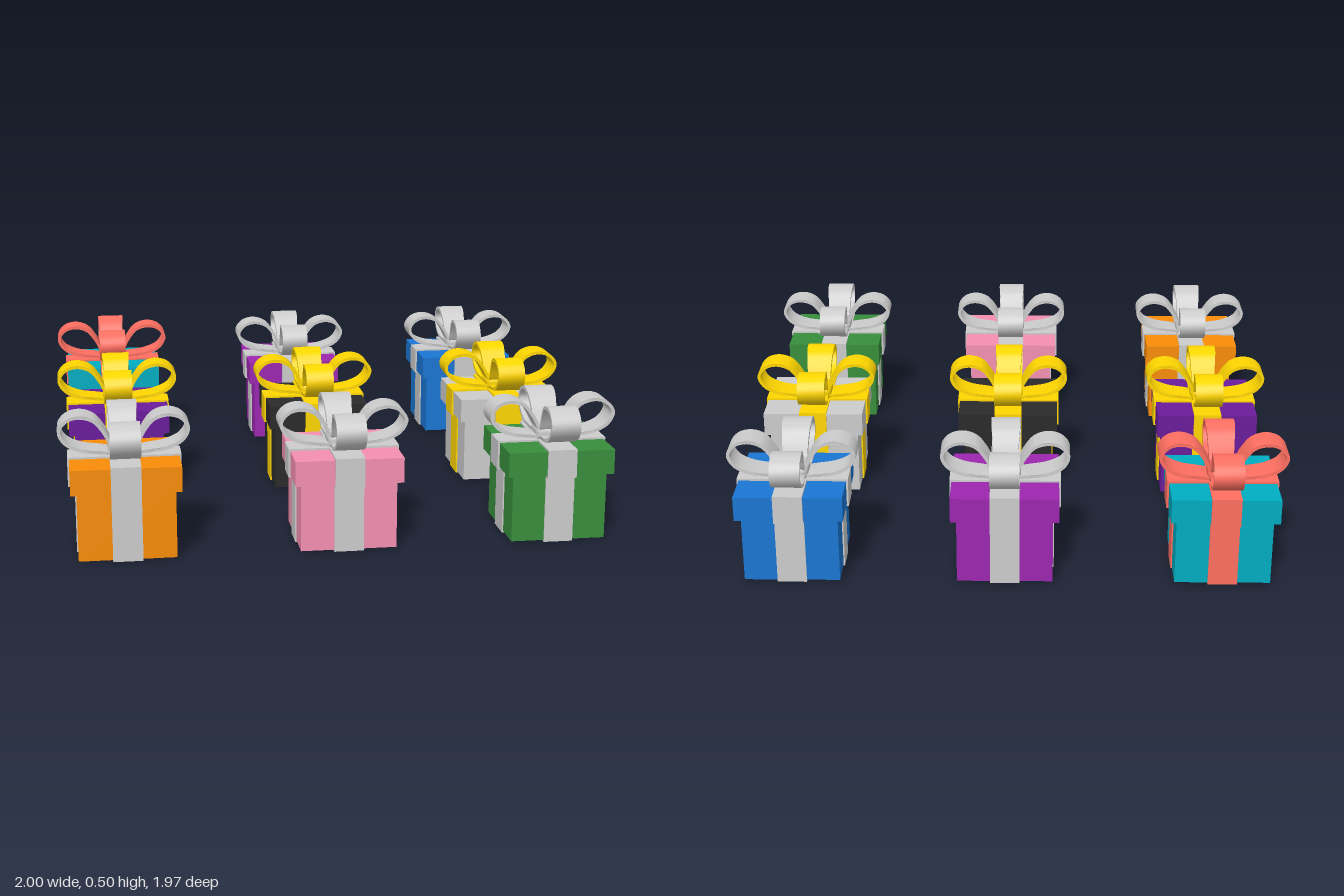
import * as THREE from 'three';
import { toCreasedNormals } from 'three/addons/utils/BufferGeometryUtils.js';
import { RoundedBoxGeometry } from 'three/addons/geometries/RoundedBoxGeometry.js';

const RIBBON = 0.0525; // half the ribbon width

// Plus-shaped prism: a ribbon wrapped both ways around a box
function crossBand(half, bottom, top) {
  const s = new THREE.Shape();
  const corners = [[RIBBON, half], [RIBBON, RIBBON], [half, RIBBON]];
  for (let q = 0; q < 4; q++) {
    const c = Math.cos(-q * Math.PI / 2), n = Math.sin(-q * Math.PI / 2);
    for (const [x, y] of corners) {
      const px = x * c - y * n, py = x * n + y * c;
      if (q === 0 && x === RIBBON && y === half) s.moveTo(px, py);
      else s.lineTo(px, py);
    }
  }
  s.closePath();
  const g = new THREE.ExtrudeGeometry(s, { depth: top - bottom, bevelEnabled: false });
  return g.rotateX(-Math.PI / 2).translate(0, bottom, 0);
}

function block(width, bottom, top) {
  return new THREE.BoxGeometry(width, top - bottom, width).translate(0, (bottom + top) / 2, 0);
}

// Teardrop ribbon loop with thickness, pinched towards the knot
function bowLoop() {
  const path = new THREE.CatmullRomCurve3([
    [0.02, 0.356], [0.08, 0.36], [0.15, 0.37], [0.205, 0.398], [0.225, 0.44],
    [0.2, 0.476], [0.155, 0.489], [0.105, 0.474], [0.07, 0.432], [0.045, 0.385],
  ].map(([x, y]) => new THREE.Vector3(x, y, 0)), true);
  const outer = [], inner = [];
  const steps = 48;
  for (let i = 0; i < steps; i++) {
    const p = path.getPointAt(i / steps), t = path.getTangentAt(i / steps);
    outer.push(new THREE.Vector2(p.x + t.y * 0.006, p.y - t.x * 0.006));
    inner.push(new THREE.Vector2(p.x - t.y * 0.006, p.y + t.x * 0.006));
  }
  const shape = new THREE.Shape(outer);
  shape.holes.push(new THREE.Path(inner));
  const g = new THREE.ExtrudeGeometry(shape, { depth: 2, bevelEnabled: false }).translate(0, 0, -1);
  const pos = g.attributes.position;
  for (let i = 0; i < pos.count; i++) {
    const k = THREE.MathUtils.smoothstep(pos.getX(i), 0.02, 0.14);
    pos.setZ(i, pos.getZ(i) * (0.044 + 0.009 * k));
  }
  return toCreasedNormals(g, 0.7);
}

export function createModel() {
  const root = new THREE.Group();
  root.name = 'giftBoxes';

  // Shared parts
  const parts = {
    body: block(0.342, 0.006, 0.25),
    lid: block(0.384, 0.25, 0.34),
    bodyRibbon: crossBand(0.176, 0, 0.248),
    lidRibbon: crossBand(0.199, 0.242, 0.347),
    knot: new RoundedBoxGeometry(0.112, 0.06, 0.112, 4, 0.025).translate(0, 0.366, 0),
  };
  const loop = bowLoop();

  const materials = {};
  const material = (color) => (materials[color] ??= new THREE.MeshStandardMaterial({ color }));

  // [box colour, ribbon colour], rows from back to front, left column first
  const grey = 0xcccccc, yellow = 0xffd600;
  const gifts = [
    [[0x00acc1, 0xff6f61], [0x9c27b0, grey], [0x1976d2, grey]],
    [[0x6a1b9a, yellow], [0x2a2a2a, yellow], [grey, yellow]],
    [[0xf88c08, grey], [0xf48fb1, grey], [0x388e3c, grey]],
  ];
  const xs = [-0.768, 0.008, 0.768], zs = [-0.755, -0.01, 0.75];

  gifts.forEach((row, r) => row.forEach(([boxColor, ribbonColor], c) => {
    const gift = new THREE.Group();
    gift.name = 'gift';
    gift.position.set(xs[c], 0, zs[r]);
    for (const [name, geometry] of Object.entries(parts)) {
      const isBox = name === 'body' || name === 'lid';
      const mesh = new THREE.Mesh(geometry, material(isBox ? boxColor : ribbonColor));
      mesh.name = name;
      gift.add(mesh);
    }
    // Four loops of the bow
    for (let i = 0; i < 4; i++) {
      const mesh = new THREE.Mesh(loop, material(ribbonColor));
      mesh.name = 'bowLoop';
      mesh.rotation.y = i * Math.PI / 2;
      gift.add(mesh);
    }
    root.add(gift);
  }));
  return root;
}
